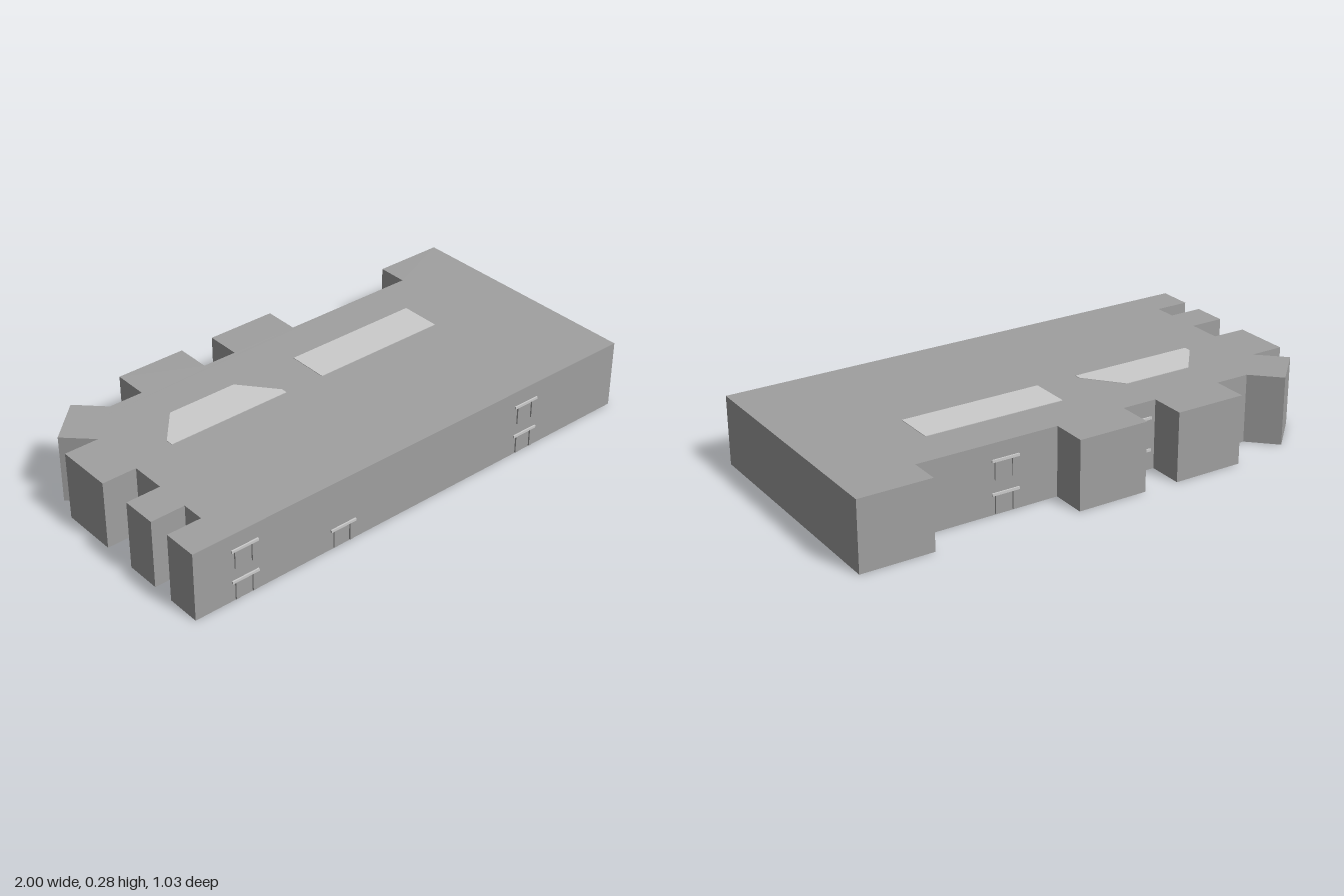
import * as THREE from 'three';

const HEIGHT = 0.275;

// Extrudes a plan outline, given as [x, z] pairs, upwards from y = base.
function slab(name, outline, base, height, material) {
  const shape = new THREE.Shape(outline.map(([x, z]) => new THREE.Vector2(x, -z)));
  const geometry = new THREE.ExtrudeGeometry(shape, { depth: height, bevelEnabled: false });
  geometry.rotateX(-Math.PI / 2);
  geometry.translate(0, base, 0);
  const mesh = new THREE.Mesh(geometry, material);
  mesh.name = name;
  return mesh;
}

function box(name, w, h, d, x, y, z, material) {
  const mesh = new THREE.Mesh(new THREE.BoxGeometry(w, h, d), material);
  mesh.position.set(x, y, z);
  mesh.name = name;
  return mesh;
}

// Raised surround: two posts below a pale lintel, facing +z.
function windowSurround(x, y, z, back, wall, pale) {
  const group = new THREE.Group();
  group.name = 'windowSurround';
  for (const side of [-1, 1]) {
    group.add(box('windowPost', 0.015, 0.07, 0.007, side * 0.036, -0.035, 0.0025, wall));
  }
  group.add(box('windowLintel', 0.112, 0.01, 0.007, 0, 0.005, 0.0025, pale));
  group.position.set(x, y, z);
  if (back) group.rotation.y = Math.PI;
  return group;
}

export function createModel() {
  const wall = new THREE.MeshStandardMaterial({ color: 0xa0a0a0 });
  wall.name = 'wall grey';
  const pale = new THREE.MeshStandardMaterial({ color: 0xcccccc });
  pale.name = 'pale grey';

  const model = new THREE.Group();
  model.name = 'building';

  // Main block with rear bays, an angled corner bay and notched end wall
  model.add(slab('mainBlock', [
    [-1, 0.507], [1, 0.507], [1, -0.497], [0.712, -0.497], [0.712, -0.375],
    [0.14, -0.375], [0.14, -0.517], [-0.145, -0.517], [-0.145, -0.375],
    [-0.287, -0.375], [-0.287, -0.517], [-0.573, -0.517], [-0.573, -0.375],
    [-0.713, -0.375], [-0.815, -0.476], [-0.965, -0.33], [-0.862, -0.23],
    [-1, -0.23], [-1, 0], [-0.862, 0], [-0.862, 0.14], [-1, 0.14],
    [-1, 0.28], [-0.862, 0.28], [-0.862, 0.37], [-1, 0.37],
  ], 0, HEIGHT, wall));

  // Pale roof panels
  model.add(slab('taperedRoofPanel', [
    [-0.685, -0.035], [-0.17, -0.035], [-0.17, -0.06], [-0.285, -0.2],
    [-0.573, -0.2], [-0.685, -0.065],
  ], HEIGHT, 0.002, pale));
  model.add(slab('longRoofPanel', [
    [0, -0.035], [0.572, -0.035], [0.572, -0.2], [0, -0.2],
  ], HEIGHT, 0.002, pale));

  // Window surrounds: [x, heights], front then back
  const low = 0.075, high = 0.203;
  for (const [x, heights] of [[-0.79, [low, high]], [-0.362, [low]], [0.525, [low, high]]]) {
    for (const y of heights) model.add(windowSurround(x, y, 0.507, false, wall, pale));
  }
  for (const x of [-0.213, 0.357]) {
    for (const y of [low, high]) model.add(windowSurround(x, y, -0.375, true, wall, pale));
  }
  return model;
}
